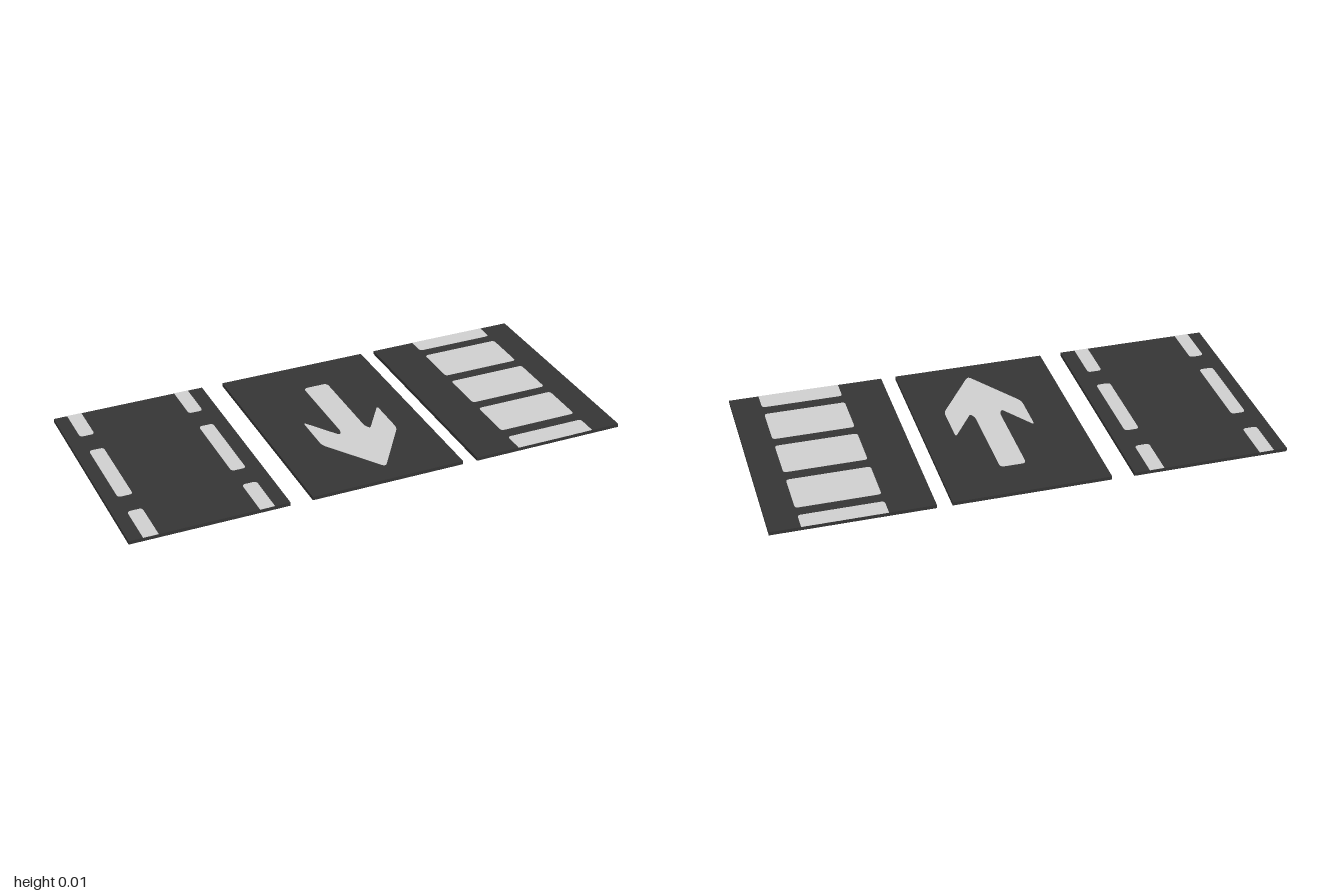
import * as THREE from 'three';

const HALF_Z = 0.463;   // half length of every tile
const SLAB_TOP = 0.014;
const PAINT = 0.0015;   // paint plate thickness

// Closed outline from [x, z, cornerRadius] points
function roundedOutline(points) {
  const shape = new THREE.Shape();
  const n = points.length;
  points.forEach(([x, z, r], i) => {
    const p = new THREE.Vector2(x, z);
    const toward = ([qx, qz]) =>
      new THREE.Vector2(qx, qz).sub(p).normalize().multiplyScalar(r).add(p);
    const a = toward(points[(i + n - 1) % n]);
    const b = toward(points[(i + 1) % n]);
    if (i === 0) shape.moveTo(a.x, a.y);
    else shape.lineTo(a.x, a.y);
    if (r > 0) shape.quadraticCurveTo(x, z, b.x, b.y);
  });
  shape.closePath();
  return shape;
}

// Rectangle whose corners stay square where it meets the tile edge
function stripOutline(x0, x1, z0, z1, r) {
  const r0 = z0 <= -HALF_Z ? 0 : r;
  const r1 = z1 >= HALF_Z ? 0 : r;
  return roundedOutline([[x0, z0, r0], [x1, z0, r0], [x1, z1, r1], [x0, z1, r1]]);
}

export function createModel() {
  const model = new THREE.Group();
  model.name = 'roadTiles';

  const asphalt = new THREE.MeshStandardMaterial({ color: 0x353535 });
  asphalt.name = 'asphalt';
  const paint = new THREE.MeshStandardMaterial({ color: 0xcfcfcf });
  paint.name = 'roadPaint';

  function addTile(name, x0, x1) {
    const tile = new THREE.Group();
    tile.name = name;
    const slab = new THREE.Mesh(new THREE.BoxGeometry(x1 - x0, SLAB_TOP, HALF_Z * 2), asphalt);
    slab.name = 'slab';
    slab.position.set((x0 + x1) / 2, SLAB_TOP / 2, 0);
    tile.add(slab);
    model.add(tile);
    return tile;
  }

  function addPaint(tile, name, outline) {
    const geometry = new THREE.ExtrudeGeometry(outline, {
      depth: PAINT, bevelEnabled: false, curveSegments: 5,
    });
    geometry.rotateX(Math.PI / 2); // outline y becomes z, depth runs down
    geometry.translate(0, SLAB_TOP + PAINT - 0.0005, 0);
    const mesh = new THREE.Mesh(geometry, paint);
    mesh.name = name;
    tile.add(mesh);
  }

  // Tile with two dashed lane lines
  const dashed = addTile('dashedLaneTile', -1, -0.383);
  for (const [x0, x1] of [[-0.946, -0.888], [-0.502, -0.444]]) {
    for (const [z0, z1] of [[-HALF_Z, -0.29], [-0.177, 0.176], [0.281, HALF_Z]]) {
      addPaint(dashed, 'laneDash', stripOutline(x0, x1, z0, z1, 0.015));
    }
  }

  // Tile with a direction arrow, mirrored about its centre line
  const arrowTile = addTile('arrowTile', -0.295, 0.321);
  const cx = 0.039;
  const half = [
    [0.051, -0.288, 0.018], // shaft end
    [0.051, 0.075, 0.01],   // shaft foot
    [0.064, 0.102, 0.012],  // notch
    [0.159, -0.04, 0.02],   // barb tip
    [0.159, 0.142, 0.02],   // barb base
  ];
  addPaint(arrowTile, 'arrow', roundedOutline([
    ...half.map(([x, z, r]) => [cx + x, z, r]),
    [cx, 0.38, 0.02],       // point
    ...half.slice().reverse().map(([x, z, r]) => [cx - x, z, r]),
  ]));

  // Tile with crossing bars
  const crossing = addTile('crossingTile', 0.38, 1);
  const bars = [[-HALF_Z, -0.388], [-0.34, -0.152], [-0.101, 0.087], [0.136, 0.324], [0.376, HALF_Z]];
  for (const [z0, z1] of bars) {
    addPaint(crossing, 'crossingBar', stripOutline(0.559, 0.882, z0, z1, 0.014));
  }

  return model;
}
